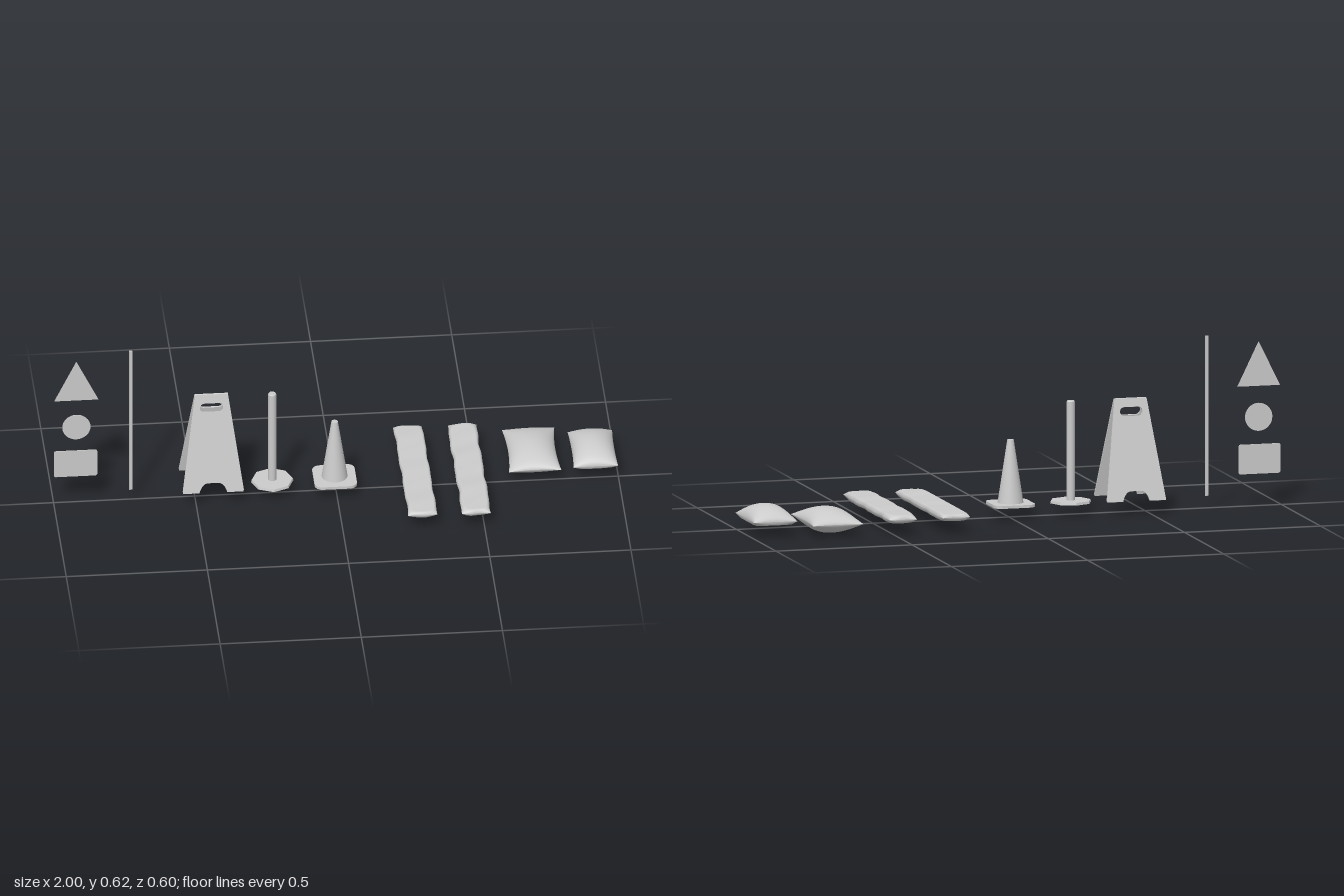
import * as THREE from 'three';
import { mergeGeometries } from 'three/addons/utils/BufferGeometryUtils.js';

const material = new THREE.MeshStandardMaterial({ color: 0xcccccc });
const flatMaterial = new THREE.MeshStandardMaterial({ color: 0xcccccc, flatShading: true });

function add(parent, name, geometry, x = 0, y = 0, z = 0, mat = material) {
  const mesh = new THREE.Mesh(geometry, mat);
  mesh.name = name;
  mesh.position.set(x, y, z);
  parent.add(mesh);
  return mesh;
}

const extrude = (shape, depth) =>
  new THREE.ExtrudeGeometry(shape, { depth, bevelEnabled: false, curveSegments: 12 });

function roundedRect(w, h, r) {
  const s = new THREE.Shape(), x = w / 2 - r, y = h / 2 - r;
  s.absarc(x, y, r, 0, Math.PI / 2);
  s.absarc(-x, y, r, Math.PI / 2, Math.PI);
  s.absarc(-x, -y, r, Math.PI, Math.PI * 1.5);
  s.absarc(x, -y, r, Math.PI * 1.5, Math.PI * 2);
  s.closePath();
  return s;
}

// Stuffed bag: two sheets meeting in a seam, bulging up and down.
// floor and cap flatten the bulge; pinch draws the sides in between the corners.
function bag({ w, d, rim, bulge, floor = -1, cap = 1, pinch = 0, power = 0.5, endPower = 2, wave = 0, phase = 0, nx = 24, nz = 32 }) {
  const sheets = [1, -1].map((side) => {
    const g = new THREE.PlaneGeometry(2, 2, nx, nz).rotateX(-side * Math.PI / 2);
    const p = g.attributes.position;
    for (let i = 0; i < p.count; i++) {
      // Points crowd towards the seam, where the curve is tight
      const u = Math.sin(p.getX(i) * Math.PI / 2), v = Math.sin(p.getZ(i) * Math.PI / 2);
      const inU = Math.max(0, 1 - u * u), inV = Math.max(0, 1 - Math.abs(v) ** endPower);
      const ripple = wave * (Math.sin(v * 9 + phase) + 0.6 * Math.sin(v * 17 + phase * 2 + u));
      const lift = bulge * (inU * inV) ** power;
      const y = side > 0
        ? Math.min(rim + lift, cap + ripple * 0.6)
        : Math.max(rim - lift, floor);
      p.setXYZ(i,
        u * w / 2 * (1 - pinch * (1 - v * v)) + ripple,
        y,
        v * d / 2 * (1 - pinch * 0.6 * (1 - u * u)) + wave * Math.sin(u * 4 + phase));
    }
    g.computeVertexNormals();
    return g;
  });
  return mergeGeometries(sheets);
}

export function createModel() {
  const model = new THREE.Group();
  model.name = 'roadSafetySet';

  // Sign plates
  const triangle = new THREE.Shape([[-0.078, 0], [0.078, 0], [0, 0.159]].map(([x, y]) => new THREE.Vector2(x, y)));
  add(model, 'triangleSign', extrude(triangle, 0.003), -0.92, 0.428, 0.009);
  add(model, 'roundSign',
    new THREE.CylinderGeometry(0.05, 0.05, 0.003, 32).rotateX(Math.PI / 2), -0.92, 0.317, 0.0105);
  add(model, 'rectangleSign', extrude(roundedRect(0.154, 0.106, 0.008), 0.003), -0.923, 0.167, 0.009);

  // Sign post
  add(model, 'signPost', new THREE.BoxGeometry(0.011, 0.572, 0.007), -0.727, 0.331, 0.004);

  // Folding floor board: two leaning panels with a hand slot and cut-out feet
  const board = new THREE.Group();
  board.name = 'foldingBoard';
  board.position.set(-0.44, 0.409, -0.016);
  const outline = new THREE.Shape();
  outline.moveTo(-0.059, 0);
  outline.lineTo(-0.108, -0.357);
  outline.lineTo(-0.107, -0.365);
  outline.lineTo(-0.049, -0.365);
  outline.quadraticCurveTo(-0.04, -0.332, -0.02, -0.329);
  outline.lineTo(0.02, -0.329);
  outline.quadraticCurveTo(0.04, -0.332, 0.049, -0.365);
  outline.lineTo(0.107, -0.365);
  outline.lineTo(0.108, -0.357);
  outline.lineTo(0.059, 0);
  const slot = new THREE.Path();
  slot.absarc(0.025, -0.047, 0.016, -Math.PI / 2, Math.PI / 2);
  slot.absarc(-0.025, -0.047, 0.016, Math.PI / 2, Math.PI * 1.5);
  outline.holes.push(slot);
  for (const [name, turn] of [['frontPanel', 0], ['rearPanel', Math.PI]]) {
    const side = new THREE.Group();
    side.name = name;
    side.rotation.y = turn;
    add(side, name, extrude(outline, 0.006)).rotation.x = -0.215;
    board.add(side);
  }
  model.add(board);

  // Marker post on an octagonal foot
  const post = new THREE.Group();
  post.name = 'markerPost';
  post.position.set(-0.225, 0, -0.006);
  add(post, 'postFoot', new THREE.CylinderGeometry(0.073, 0.075, 0.009, 8), 0, 0.0495, 0, flatMaterial);
  const postProfile = [[0.0145, 0.054], [0.0145, 0.405], [0.0145, 0.405], [0.012, 0.409], [0.012, 0.409], [0, 0.409]];
  add(post, 'postTube', new THREE.LatheGeometry(postProfile.map(([x, y]) => new THREE.Vector2(x, y)), 24));
  model.add(post);

  // Traffic cone on a rounded square foot
  const cone = new THREE.Group();
  cone.name = 'trafficCone';
  cone.position.set(-0.004, 0, -0.006);
  add(cone, 'coneFoot', extrude(roundedRect(0.15, 0.15, 0.028), 0.01).rotateX(-Math.PI / 2), 0, 0.045);
  add(cone, 'coneBody', new THREE.CylinderGeometry(0.0115, 0.046, 0.226, 32), 0, 0.167);
  model.add(cone);

  // Long sandbags lying flat
  const strip = { w: 0.102, d: 0.597, rim: 0.059, bulge: 0.03, floor: 0.045, endPower: 8, nx: 20, nz: 48 };
  add(model, 'longSandbagInner', bag({ ...strip, cap: 0.071, wave: 0.0015, phase: 1 }), 0.282, 0, -0.004);
  add(model, 'longSandbagOuter', bag({ ...strip, cap: 0.073, wave: 0.002, phase: 3.4 }), 0.472, 0, 0);

  // Pillow-shaped sandbags, one full and one settled flat underneath
  add(model, 'fullSandbag',
    bag({ w: 0.186, d: 0.287, rim: 0.046, bulge: 0.044, pinch: 0.1, power: 0.55 }), 0.705, 0, -0.131);
  add(model, 'settledSandbag',
    bag({ w: 0.158, d: 0.24, rim: 0.058, bulge: 0.048, floor: 0.045, pinch: 0.05, power: 0.52 }), 0.919, 0, -0.099);

  return model;
}
